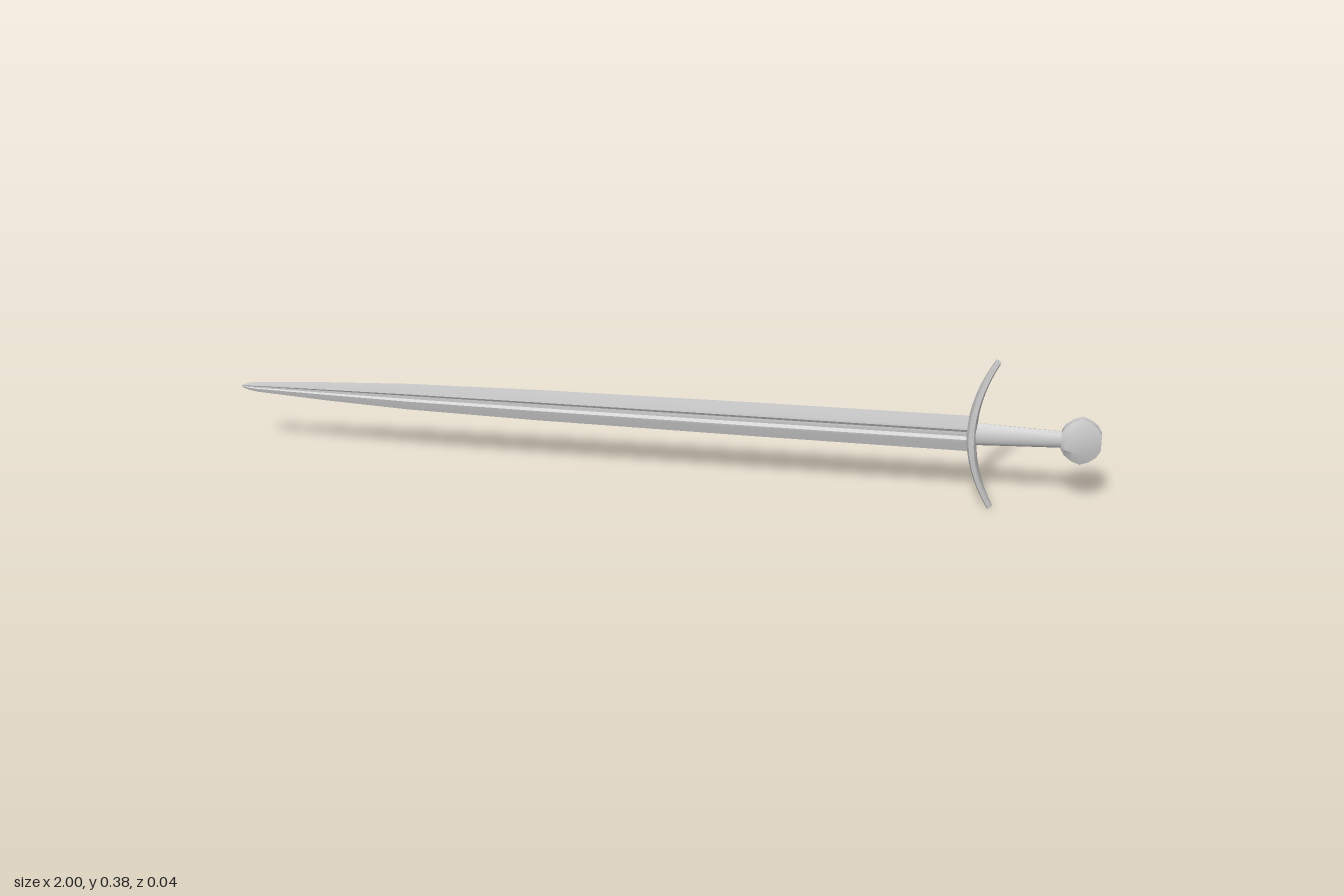
import * as THREE from 'three';
import { toCreasedNormals } from 'three/addons/utils/BufferGeometryUtils.js';

const MID = 0.195; // height of the sword's long axis

// Skin through closed rings of equal length, with fan caps at both ends
function loft(rings, crease = 0.5) {
  const n = rings[0].length, index = [];
  const points = rings.flat();
  for (let i = 0; i < rings.length - 1; i++) {
    for (let j = 0; j < n; j++) {
      const a = i * n + j, b = i * n + (j + 1) % n;
      index.push(a, b, a + n, b, b + n, a + n);
    }
  }
  const last = (rings.length - 1) * n;
  [[rings[0], 0, true], [rings[rings.length - 1], last, false]].forEach(([ring, base, flip]) => {
    const c = points.length;
    points.push([0, 1, 2].map(k => ring.reduce((s, p) => s + p[k], 0) / n));
    for (let j = 0; j < n; j++) {
      const a = base + j, b = base + (j + 1) % n;
      index.push(c, flip ? b : a, flip ? a : b);
    }
  });
  const g = new THREE.BufferGeometry();
  g.setAttribute('position', new THREE.Float32BufferAttribute(points.flat(), 3));
  g.setIndex(index);
  return toCreasedNormals(g, crease);
}

// Section shape scaled to [x, halfHeight, halfDepth] at each station
const alongX = (stations, shape) =>
  stations.map(([x, h, d]) => shape.map(([u, w]) => [x, MID + u * h, w * d]));

export function createModel() {
  const group = new THREE.Group();
  const material = new THREE.MeshStandardMaterial({ color: 0xcccccc });
  const add = (name, geometry) => {
    const mesh = new THREE.Mesh(geometry, material);
    mesh.name = name;
    group.add(mesh);
  };

  // Blade: sharp edges and a shallow fuller on both faces
  const half = [[1, 0], [0.42, 0.85], [0.28, 1], [0.12, 0.5], [-0.12, 0.5], [-0.28, 1], [-0.42, 0.85]];
  const bladeShape = [...half, ...half.map(([u, w]) => [-u, -w])];
  add('blade', loft(alongX([
    [-1, 0.003, 0.001], [-0.985, 0.009, 0.002], [-0.965, 0.013, 0.003], [-0.8, 0.024, 0.005],
    [-0.6, 0.034, 0.007], [-0.3, 0.04, 0.008], [0.2, 0.044, 0.009], [0.712, 0.046, 0.009],
  ], bladeShape), 0.3));

  // Crossguard: bowed bar, tapering toward its tips
  const guardShape = [[1, -0.5], [1, 0.5], [0.5, 0.9], [0, 1], [-0.5, 0.9],
    [-1, 0.5], [-1, -0.5], [-0.5, -0.9], [0, -1], [0.5, -0.9]];
  const guard = [];
  for (let i = 0; i <= 16; i++) {
    const t = i / 8 - 1;
    const slope = new THREE.Vector2(0.1 * t, 0.186).normalize();
    const depth = 0.0205 - 0.0115 * THREE.MathUtils.clamp((Math.abs(t) - 0.25) / 0.75, 0, 1);
    const thick = 0.012 - 0.005 * Math.abs(t);
    guard.push(guardShape.map(([w, u]) => [
      0.708 + 0.05 * t * t + u * thick * slope.y,
      MID + 0.187 * t - u * thick * slope.x,
      w * depth,
    ]));
  }
  add('crossguard', loft(guard, 0.6));

  // Grip: tapered oval handle
  const oval = Array.from({ length: 12 }, (_, i) => {
    const a = i * Math.PI / 6;
    return [Math.cos(a), Math.sin(a)];
  });
  add('grip', loft(alongX([[0.71, 0.029, 0.015], [0.82, 0.024, 0.014], [0.92, 0.02, 0.013]], oval), 0.8));

  // Pommel: faceted disc with a narrow rim and raised middle
  const rim = 0.008;
  const pommel = [
    [0.91, 0.021, 0.014], [0.918, 0.036, 0.0185], [0.935, 0.05, 0.019], [0.955, 0.058, 0.018],
    [0.975, 0.05, 0.015], [0.99, 0.038, 0.012], [1, 0.02, 0.009],
  ].map(([x, h, d]) => [
    [h, -rim], [h, rim], [h * 0.45, d], [-h * 0.45, d],
    [-h, rim], [-h, -rim], [-h * 0.45, -d], [h * 0.45, -d],
  ].map(([y, z]) => [x, MID + y, z]));
  add('pommel', loft(pommel, 0.5));

  return group;
}
